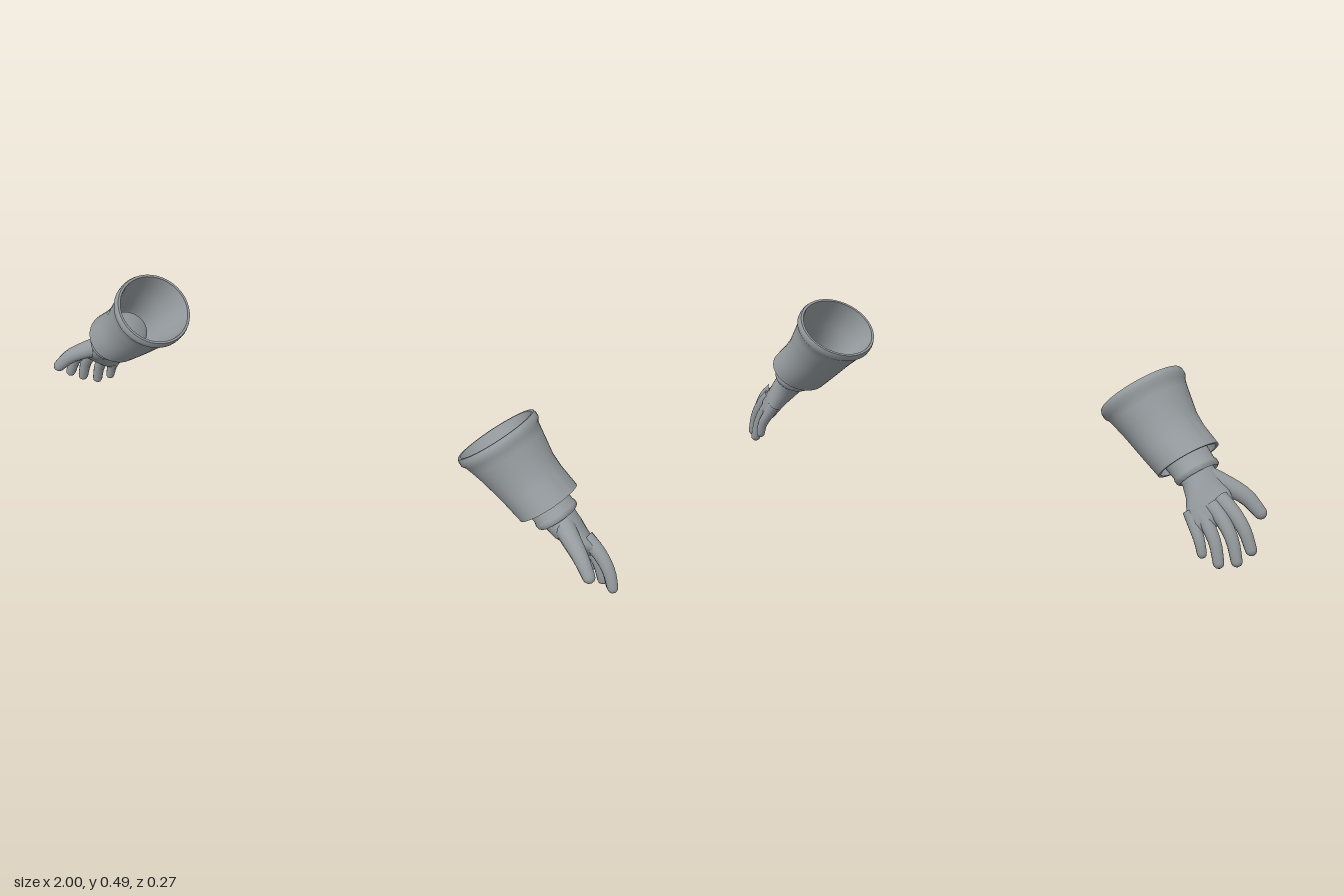
import * as THREE from 'three';
import { toCreasedNormals } from 'three/addons/utils/BufferGeometryUtils.js';

const V = (x, y, z) => new THREE.Vector3(x, y, z);
// Forearm frame: U runs down the arm, OUT points to the back of the hand, Z is front
const ORIGIN = V(0.6, 0.415, 0), U = V(0.66, -0.75, 0).normalize(), OUT = V(0.75, 0.66, 0).normalize(), Z = V(0, 0, 1);

// Skin over elliptical rings { c, a, b }; side -1 mirrors it in x
function loft(rings, side, n, crease) {
  const pos = [], idx = [];
  for (const { c, a, b } of rings) {
    for (let j = 0; j < n; j++) {
      const t = (j / n) * Math.PI * 2;
      const p = c.clone().addScaledVector(a, Math.cos(t)).addScaledVector(b, Math.sin(t));
      pos.push(p.x * side, p.y, p.z);
    }
  }
  for (let i = 0; i < rings.length - 1; i++) {
    for (let j = 0; j < n; j++) {
      const k = (j + 1) % n;
      const p = i * n + j, q = i * n + k, r = p + n, s = q + n;
      if (side > 0) idx.push(p, q, s, p, s, r);
      else idx.push(p, s, q, p, r, s);
    }
  }
  const g = new THREE.BufferGeometry();
  g.setAttribute('position', new THREE.Float32BufferAttribute(pos, 3));
  g.setIndex(idx);
  g.computeVertexNormals();
  return crease ? toCreasedNormals(g, crease) : g;
}

// Ring square to the forearm: distance down it, shift out, shift z, two radii
const armRing = ([u, out, z, ro, rz]) => ({
  c: ORIGIN.clone().addScaledVector(U, u).addScaledVector(OUT, out).addScaledVector(Z, z),
  a: OUT.clone().multiplyScalar(ro),
  b: Z.clone().multiplyScalar(rz),
});

// Palm ring turned about the arm: centre, turn, half thickness, half width
const palmRing = ([x, y, z, turn, thick, wide]) => ({
  c: V(x, y, z),
  a: OUT.clone().multiplyScalar(Math.cos(turn)).addScaledVector(Z, -Math.sin(turn)).multiplyScalar(thick),
  b: Z.clone().multiplyScalar(Math.cos(turn)).addScaledVector(OUT, Math.sin(turn)).multiplyScalar(wide),
});

// Tapered finger along a curve with a rounded tip
function fingerRings(points, r0, r1) {
  const curve = new THREE.CatmullRomCurve3(points.map((p) => V(...p)));
  const rings = [];
  const add = (c, d, r) => {
    const a = OUT.clone().addScaledVector(d, -OUT.dot(d)).normalize();
    const b = d.clone().cross(a);
    rings.push({ c, a: a.multiplyScalar(r), b: b.multiplyScalar(r) });
  };
  for (let i = 0; i <= 8; i++) {
    const t = i / 8;
    add(curve.getPoint(t), curve.getTangent(t), r0 + (r1 - r0) * t);
  }
  const end = curve.getPoint(1), d = curve.getTangent(1);
  for (const t of [0.5, 1, 1.54]) {
    add(end.clone().addScaledVector(d, r1 * Math.sin(t)), d, r1 * Math.cos(t));
  }
  return rings;
}

// Flared gauntlet: outer wall, lower lip, inner wall, upper lip
const CUFF = [
  [0, 0, 0, 0.115, 0.131], [0.008, 0, 0, 0.118, 0.134], [0.022, 0, 0, 0.118, 0.134],
  [0.032, 0, 0, 0.111, 0.126], [0.055, 0.001, -0.002, 0.106, 0.12], [0.09, 0.003, -0.004, 0.099, 0.112],
  [0.13, 0.004, -0.006, 0.092, 0.104], [0.17, 0.009, -0.008, 0.088, 0.1], [0.235, 0.022, -0.009, 0.085, 0.099],
  [0.235, 0.022, -0.009, 0.077, 0.091], [0.17, 0.009, -0.008, 0.08, 0.092], [0.13, 0.004, -0.006, 0.084, 0.096],
  [0.09, 0.003, -0.004, 0.091, 0.104], [0.04, 0, 0, 0.101, 0.116], [0, 0, 0, 0.108, 0.123], [0, 0, 0, 0.115, 0.131],
];

// Inner sleeve with a closed upper end and a rolled hem
const SLEEVE = [
  [0.155, 0.01, -0.008, 0.001, 0.001], [0.157, 0.01, -0.008, 0.045, 0.055], [0.17, 0.012, -0.008, 0.062, 0.074],
  [0.21, 0.018, -0.008, 0.059, 0.072], [0.26, 0.023, -0.008, 0.055, 0.067], [0.268, 0.024, -0.008, 0.058, 0.071],
  [0.279, 0.025, -0.008, 0.057, 0.07], [0.284, 0.025, -0.008, 0.052, 0.065], [0.276, 0.025, -0.008, 0.035, 0.045],
];

const PALM = [
  [0.765, 0.255, -0.01, 0, 0.044, 0.055], [0.81, 0.213, -0.012, 0.1, 0.042, 0.056],
  [0.832, 0.188, -0.018, 0.3, 0.041, 0.06], [0.853, 0.162, -0.03, 0.6, 0.036, 0.066],
  [0.88, 0.13, -0.046, 0.9, 0.027, 0.068], [0.893, 0.113, -0.05, 0.95, 0.018, 0.058],
  [0.899, 0.105, -0.052, 0.95, 0.001, 0.03],
];

// Path and the radii at the root and tip
const DIGITS = {
  thumb: [[[0.82, 0.215, 0.002], [0.865, 0.195, 0.03], [0.912, 0.168, 0.056], [0.95, 0.127, 0.072]], 0.032, 0.018],
  indexFinger: [[[0.885, 0.175, -0.022], [0.928, 0.145, -0.021], [0.965, 0.1, -0.018], [0.984, 0.052, -0.014]], 0.023, 0.0155],
  middleFinger: [[[0.875, 0.16, -0.045], [0.913, 0.128, -0.047], [0.948, 0.08, -0.049], [0.965, 0.026, -0.05]], 0.022, 0.0155],
  ringFinger: [[[0.85, 0.145, -0.062], [0.88, 0.113, -0.067], [0.91, 0.068, -0.071], [0.925, 0.018, -0.074]], 0.021, 0.015],
  littleFinger: [[[0.828, 0.138, -0.074], [0.848, 0.108, -0.081], [0.871, 0.073, -0.088], [0.882, 0.038, -0.089]], 0.019, 0.013],
};

export function createModel() {
  const grey = new THREE.MeshStandardMaterial({ color: 0x959b9e });
  grey.name = 'grey';
  const model = new THREE.Group();
  model.name = 'gloves';

  for (const side of [1, -1]) {
    const glove = new THREE.Group();
    glove.name = side > 0 ? 'leftGlove' : 'rightGlove';
    const add = (name, rings, n, crease) => {
      const mesh = new THREE.Mesh(loft(rings, side, n, crease), grey);
      mesh.name = name;
      glove.add(mesh);
    };
    add('cuff', CUFF.map(armRing), 40, 0.75);
    add('sleeve', SLEEVE.map(armRing), 32, 0.9);
    add('palm', PALM.map(palmRing), 24);
    for (const [name, [path, r0, r1]] of Object.entries(DIGITS)) {
      add(name, fingerRings(path, r0, r1), 12);
    }
    model.add(glove);
  }
  return model;
}
